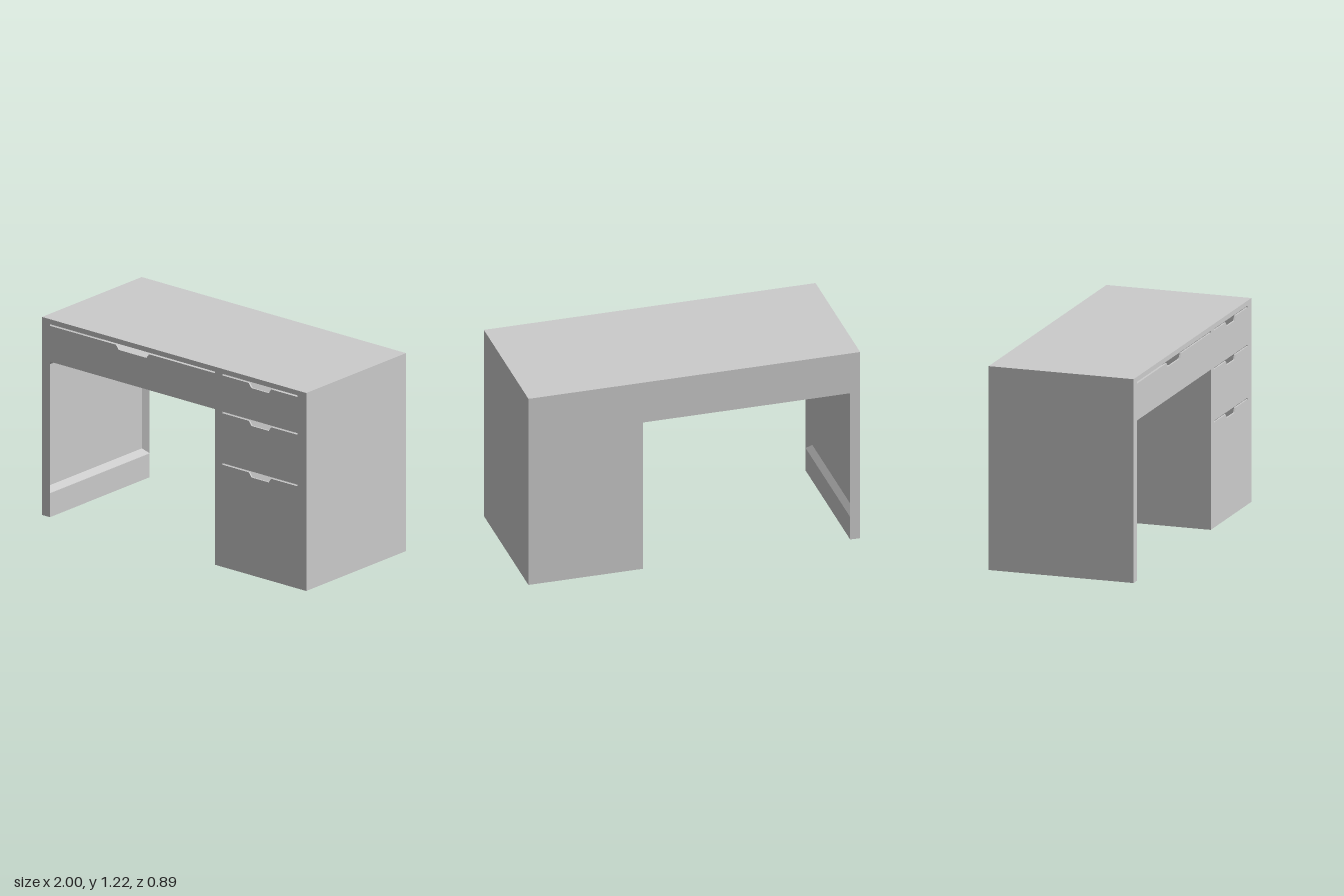
import * as THREE from 'three';

const H = 1.215, Z = 0.445, KNEE = 0.955, T = 0.01; // height, half depth, kneehole height, front thickness

export function createModel() {
  const desk = new THREE.Group();
  desk.name = 'desk';
  const grey = new THREE.MeshStandardMaterial({ color: 0xcccccc });
  grey.name = 'light grey';

  const add = (name, geometry) => {
    const mesh = new THREE.Mesh(geometry, grey);
    mesh.name = name;
    desk.add(mesh);
    return mesh;
  };
  // Box given by its limits on each axis
  const box = (name, x0, x1, y0, y1, z0 = -Z, z1 = Z - T) =>
    add(name, new THREE.BoxGeometry(x1 - x0, y1 - y0, z1 - z0))
      .position.set((x0 + x1) / 2, (y0 + y1) / 2, (z0 + z1) / 2);

  // Drawer fronts: one sheet with a groove and finger pull above each drawer
  const front = new THREE.Shape([
    [-1, KNEE], [0.31, KNEE], [0.31, 0], [1, 0], [1, H], [-1, H],
  ].map(p => new THREE.Vector2(...p)));
  const slot = (x0, x1, top, pullWidth) => {
    const c = (x0 + x1) / 2, h = pullWidth / 2, low = top - 0.01;
    front.holes.push(new THREE.Path([
      [x0, top], [x1, top], [x1, low], [c + h, low], [c + h - 0.02, top - 0.037],
      [c - h + 0.02, top - 0.037], [c - h, low], [x0, low],
    ].map(p => new THREE.Vector2(...p))));
  };
  slot(-0.94, 0.31, 1.185, 0.25);
  for (const top of [1.185, 0.953, 0.637]) slot(0.365, 0.935, top, 0.17);
  add('drawerFronts', new THREE.ExtrudeGeometry(front, { depth: T, bevelEnabled: false }))
    .position.z = Z - T;

  // Hollow casework
  box('top', -1, 1, 1.187, H);
  box('wideDrawerEnd', -1, -0.94, KNEE, 1.187);
  box('wideDrawerBottom', -0.94, 0.31, KNEE, KNEE + 0.005);
  box('wideDrawerBack', -0.94, 0.31, KNEE + 0.005, 1.187, -Z, -Z + 0.03);
  box('pedestalInnerSide', 0.31, 0.365, 0, 1.187);
  box('pedestalOuterSide', 0.935, 1, 0, 1.187);
  box('pedestalBack', 0.365, 0.935, 0, 1.187, -Z, -Z + 0.03);
  box('pedestalBase', 0.365, 0.935, 0, 0.02, -Z + 0.03);
  for (const y of [0.955, 0.639]) box('drawerBottom', 0.365, 0.935, y, y + 0.005, -Z + 0.03);

  // Side leg: slab, bottom rail and a bevelled frame around the sunken panel
  const railTop = 0.147, bevel = 0.033, xIn = -0.97, xOut = -0.94;
  box('legPanel', -1, xIn, 0, KNEE, -Z, Z);
  box('legRail', xIn, xOut, 0, railTop, -Z, Z);
  const ring = (x, inset) => [
    [x, railTop + inset, Z - inset], [x, railTop + inset, -Z + inset],
    [x, KNEE - inset, -Z + inset], [x, KNEE - inset, Z - inset],
  ];
  const rings = [ring(xIn, 0), ring(xOut, 0), ring(xIn, bevel)];
  const points = [];
  for (let r = 0; r < 2; r++) {
    for (let i = 0; i < 4; i++) {
      const j = (i + 1) % 4;
      const a = rings[r][i], b = rings[r][j], c = rings[r + 1][j], d = rings[r + 1][i];
      points.push(...a, ...b, ...c, ...a, ...c, ...d);
    }
  }
  const frame = new THREE.BufferGeometry();
  frame.setAttribute('position', new THREE.Float32BufferAttribute(points, 3));
  frame.computeVertexNormals();
  add('legBevelFrame', frame);

  return desk;
}
